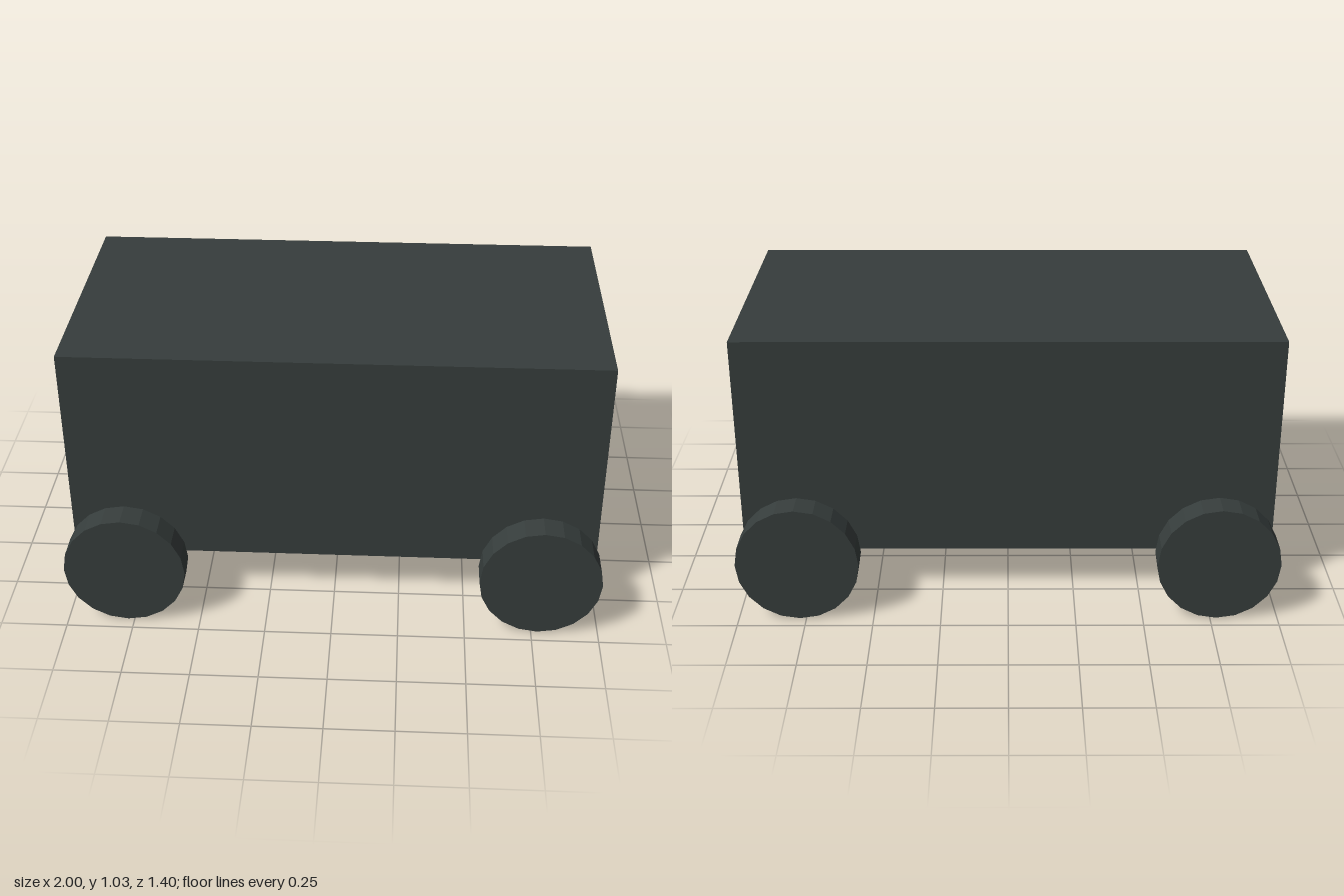
import * as THREE from 'three';

export function createModel() {
  const model = new THREE.Group();
  model.name = 'boxWagon';
  const charcoal = new THREE.MeshStandardMaterial({ color: 0x363d3c });
  charcoal.name = 'charcoal';
  charcoal.flatShading = true;

  const add = (name, geometry, x, y, z) => {
    const mesh = new THREE.Mesh(geometry, charcoal);
    mesh.name = name;
    mesh.position.set(x, y, z);
    model.add(mesh);
    return mesh;
  };

  const halfLength = 0.997, halfWidth = 0.5;
  const bottom = 0.18, top = 1.027;
  const wall = 0.05, floor = 0.1;

  // Hollow body: floor, walls and roof as one tube running along x
  const section = new THREE.Shape([
    new THREE.Vector2(-halfWidth, bottom), new THREE.Vector2(halfWidth, bottom),
    new THREE.Vector2(halfWidth, top), new THREE.Vector2(-halfWidth, top),
  ]);
  const inW = halfWidth - wall;
  section.holes.push(new THREE.Path([
    new THREE.Vector2(-inW, bottom + floor), new THREE.Vector2(-inW, top - wall),
    new THREE.Vector2(inW, top - wall), new THREE.Vector2(inW, bottom + floor),
  ]));
  const shell = new THREE.ExtrudeGeometry(section, { depth: 2 * halfLength - wall, bevelEnabled: false });
  shell.rotateY(Math.PI / 2);
  add('bodyShell', shell, -halfLength, 0, 0);

  // Closed end at +x; the other end stays open
  add('endWall', new THREE.BoxGeometry(wall, top - bottom, 2 * halfWidth),
    halfLength - wall / 2, (top + bottom) / 2, 0);

  // Four wheels on square axle stubs
  const radius = 0.2265, wheelX = 0.7735;
  const wheel = new THREE.CylinderGeometry(radius, radius, 0.1, 20).rotateX(Math.PI / 2);
  const axle = new THREE.BoxGeometry(0.1, 0.1, 0.1);
  for (const sx of [-1, 1]) {
    for (const sz of [-1, 1]) {
      const corner = (sz > 0 ? 'front' : 'back') + (sx > 0 ? 'Left' : 'Right');
      add(corner + 'Axle', axle, sx * wheelX, bottom + 0.05, sz * 0.55);
      add(corner + 'Wheel', wheel, sx * wheelX, radius, sz * 0.65);
    }
  }
  return model;
}
